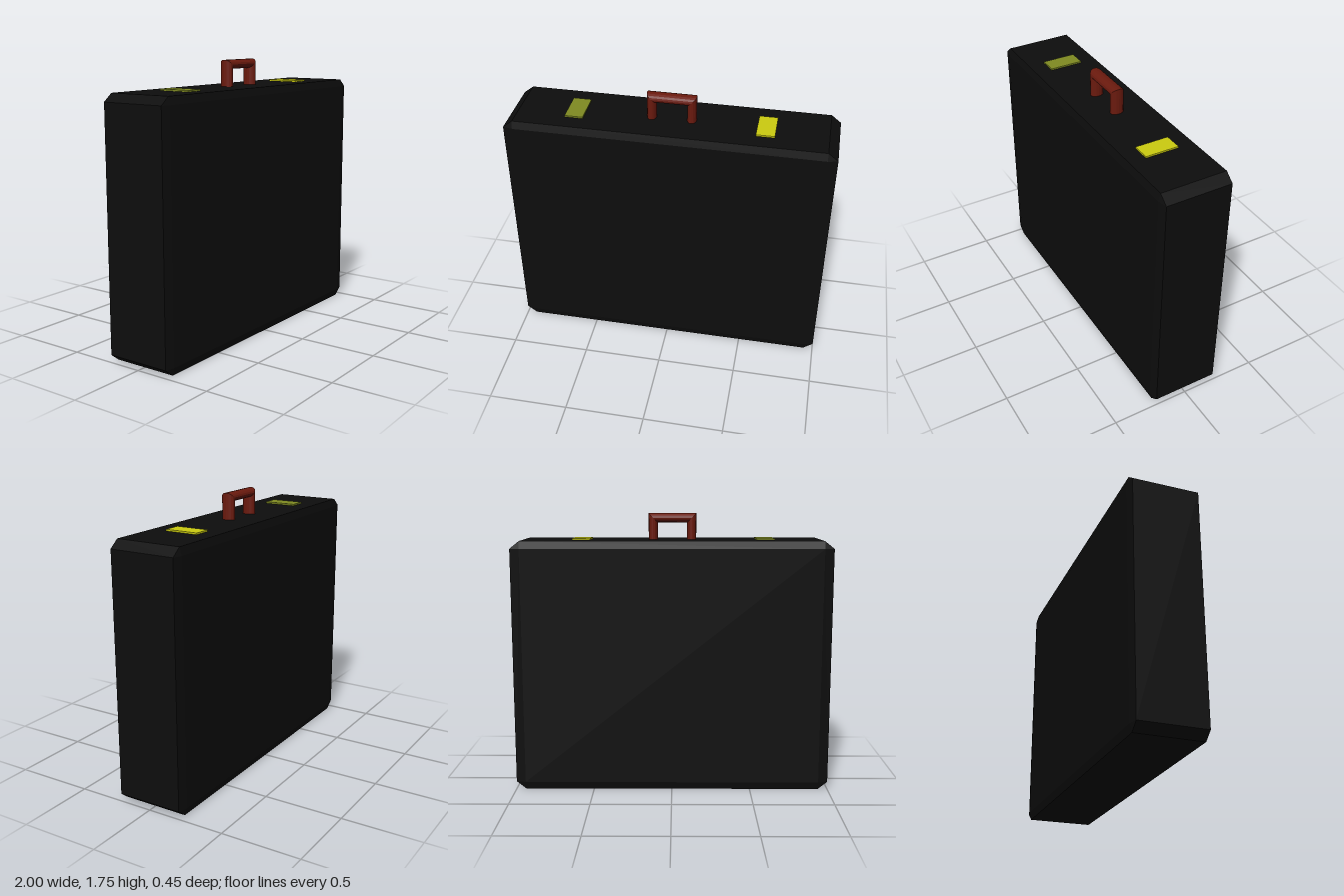
import * as THREE from 'three';
import { ConvexGeometry } from 'three/addons/geometries/ConvexGeometry.js';

const WIDTH = 2, HEIGHT = 1.588, DEPTH = 0.446;

function makeMesh(name, geometry, color, flatShading = false) {
  const material = new THREE.MeshStandardMaterial({ color, flatShading });
  const mesh = new THREE.Mesh(geometry, material);
  mesh.name = name;
  return mesh;
}

// Box with every edge cut by the same fraction of each side
function chamferedBox(w, h, d, cut) {
  const points = [];
  for (const x of [-0.5, 0.5]) for (const y of [-0.5, 0.5]) for (const z of [-0.5, 0.5]) {
    for (let axis = 0; axis < 3; axis++) {
      const k = [0, 1, 2].map((i) => (i === axis ? 1 : 1 - 2 * cut));
      points.push(new THREE.Vector3(x * k[0] * w, y * k[1] * h, z * k[2] * d));
    }
  }
  return new ConvexGeometry(points);
}

// Oval section swept along a square arch with mitred corners
function archHandle(halfSpan, bottom, top, rOut, rZ, sides) {
  const path = [
    { x: -halfSpan, y: bottom, nx: -1, ny: 0 },
    { x: -halfSpan, y: top, nx: -1, ny: 1 },
    { x: halfSpan, y: top, nx: 1, ny: 1 },
    { x: halfSpan, y: bottom, nx: 1, ny: 0 },
  ];
  const positions = [];
  const corner = (p, j) => {
    const a = (j / sides) * Math.PI * 2;
    const out = Math.cos(a) * rOut;
    return [p.x + p.nx * out, p.y + p.ny * out, Math.sin(a) * rZ];
  };
  for (let i = 0; i < path.length - 1; i++) {
    for (let j = 0; j < sides; j++) {
      const a = corner(path[i], j), b = corner(path[i + 1], j);
      const c = corner(path[i + 1], j + 1), d = corner(path[i], j + 1);
      positions.push(...a, ...d, ...b, ...b, ...d, ...c);
    }
  }
  const geometry = new THREE.BufferGeometry();
  geometry.setAttribute('position', new THREE.Float32BufferAttribute(positions, 3));
  geometry.computeVertexNormals();
  return geometry;
}

export function createModel() {
  const model = new THREE.Group();
  model.name = 'briefcase';

  // Case
  const body = makeMesh('caseBody', chamferedBox(WIDTH, HEIGHT, DEPTH, 0.03), 0x0d0d0d, true);
  body.position.y = HEIGHT / 2;
  model.add(body);

  // Carrying handle
  const handle = makeMesh('handle', archHandle(0.122, HEIGHT - 0.02, 1.724, 0.029, 0.042, 16), 0x6b1a0e, true);
  handle.material.side = THREE.DoubleSide;
  handle.position.x = -0.003;
  model.add(handle);

  // Latch plates on the top face
  for (const [name, x, color] of [['rightLatch', -0.586, 0x808b22], ['leftLatch', 0.569, 0xcccc10]]) {
    const latch = makeMesh(name, new THREE.BoxGeometry(0.112, 0.03, 0.212), color);
    latch.position.set(x, HEIGHT - 0.005, 0);
    model.add(latch);
  }

  return model;
}
